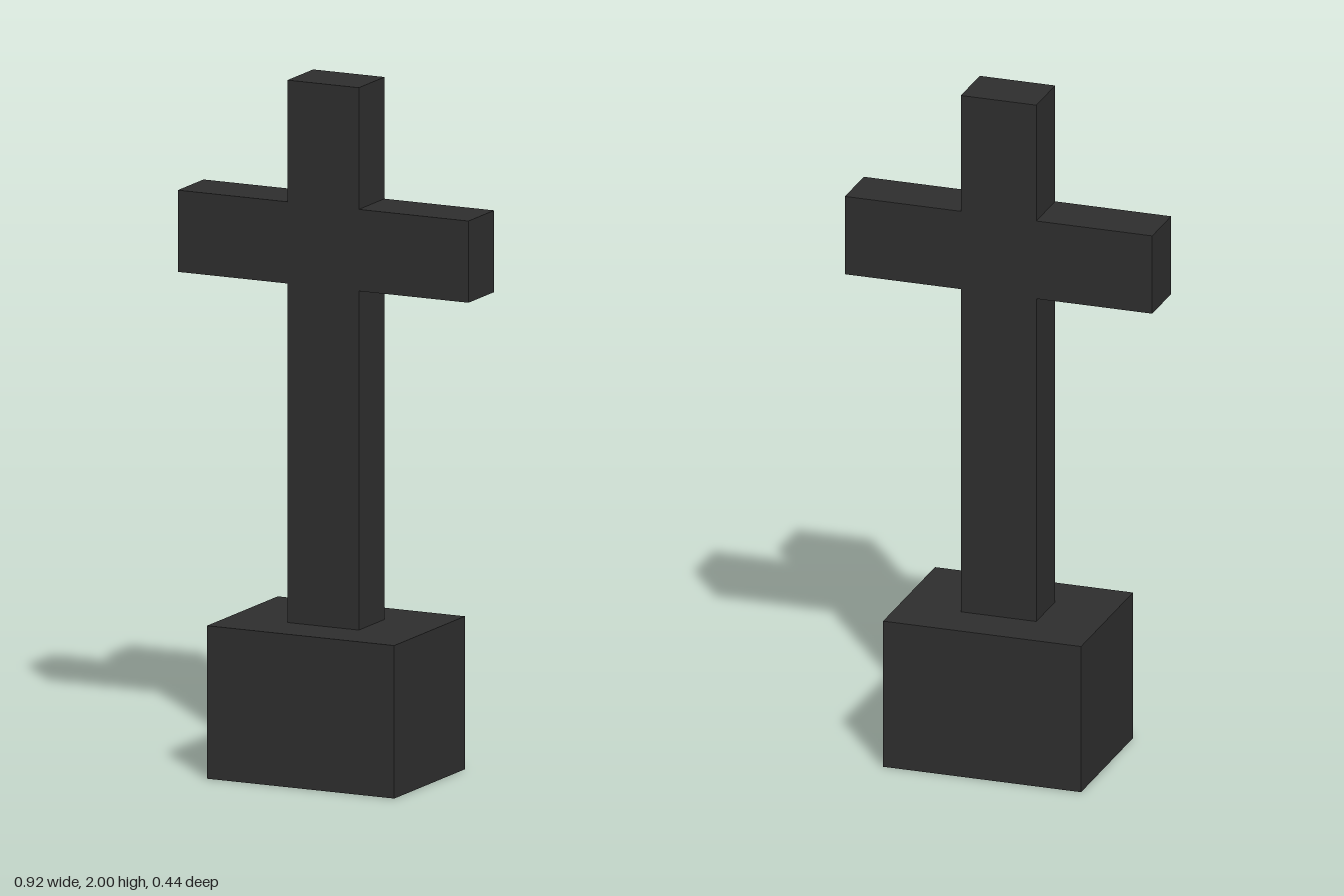
import * as THREE from 'three';

export function createModel() {
  const group = new THREE.Group();
  group.name = 'crossMonument';

  const stone = new THREE.MeshStandardMaterial({ color: 0x2e2e2e });
  stone.name = 'dark stone';

  // Plinth block
  const baseHeight = 0.44;
  const base = new THREE.Mesh(new THREE.BoxGeometry(0.59, baseHeight, 0.44), stone);
  base.name = 'base';
  base.position.y = baseHeight / 2;
  group.add(base);

  // Cross: one outline, mirrored across x, extruded to its thickness
  const half = [
    [0.1125, baseHeight], [0.1125, 1.415], [0.458, 1.415],
    [0.458, 1.65], [0.1125, 1.65], [0.1125, 2],
  ];
  const outline = [...half, ...half.map(([x, y]) => [-x, y]).reverse()];
  const shape = new THREE.Shape(outline.map(([x, y]) => new THREE.Vector2(x, y)));
  const depth = 0.16;
  const crossGeometry = new THREE.ExtrudeGeometry(shape, { depth, bevelEnabled: false });
  crossGeometry.translate(0, 0, -depth / 2);
  const cross = new THREE.Mesh(crossGeometry, stone);
  cross.name = 'cross';
  group.add(cross);

  return group;
}
